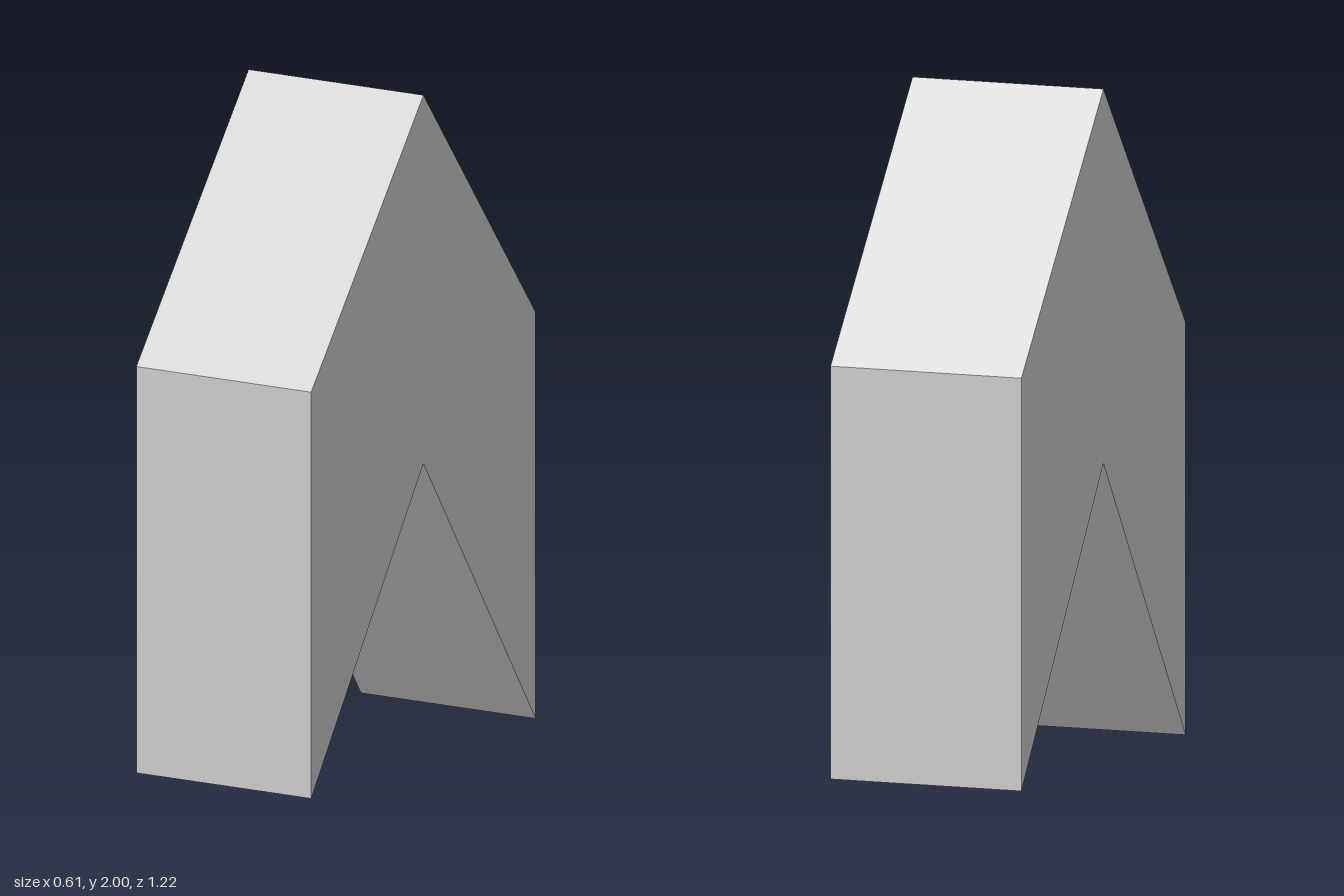
import * as THREE from 'three';

export function createModel() {
  const width = 0.61, half = 0.61;

  // Side profile: pointed top, upright ends and a V-shaped notch below
  const profile = new THREE.Shape([
    [-half, 0], [0, 0.89], [half, 0], [half, 1.225], [0, 2], [-half, 1.225],
  ].map(([x, y]) => new THREE.Vector2(x, y)));

  // Extrude across the width, then turn the profile into the z-y plane
  const geometry = new THREE.ExtrudeGeometry(profile, { depth: width, bevelEnabled: false });
  geometry.translate(0, 0, -width / 2);
  geometry.rotateY(Math.PI / 2);

  const chevron = new THREE.Mesh(
    geometry,
    new THREE.MeshStandardMaterial({ color: 0xcccccc, flatShading: true }),
  );
  chevron.name = 'chevronBlock';

  const model = new THREE.Group();
  model.name = 'chevron';
  model.add(chevron);
  return model;
}
